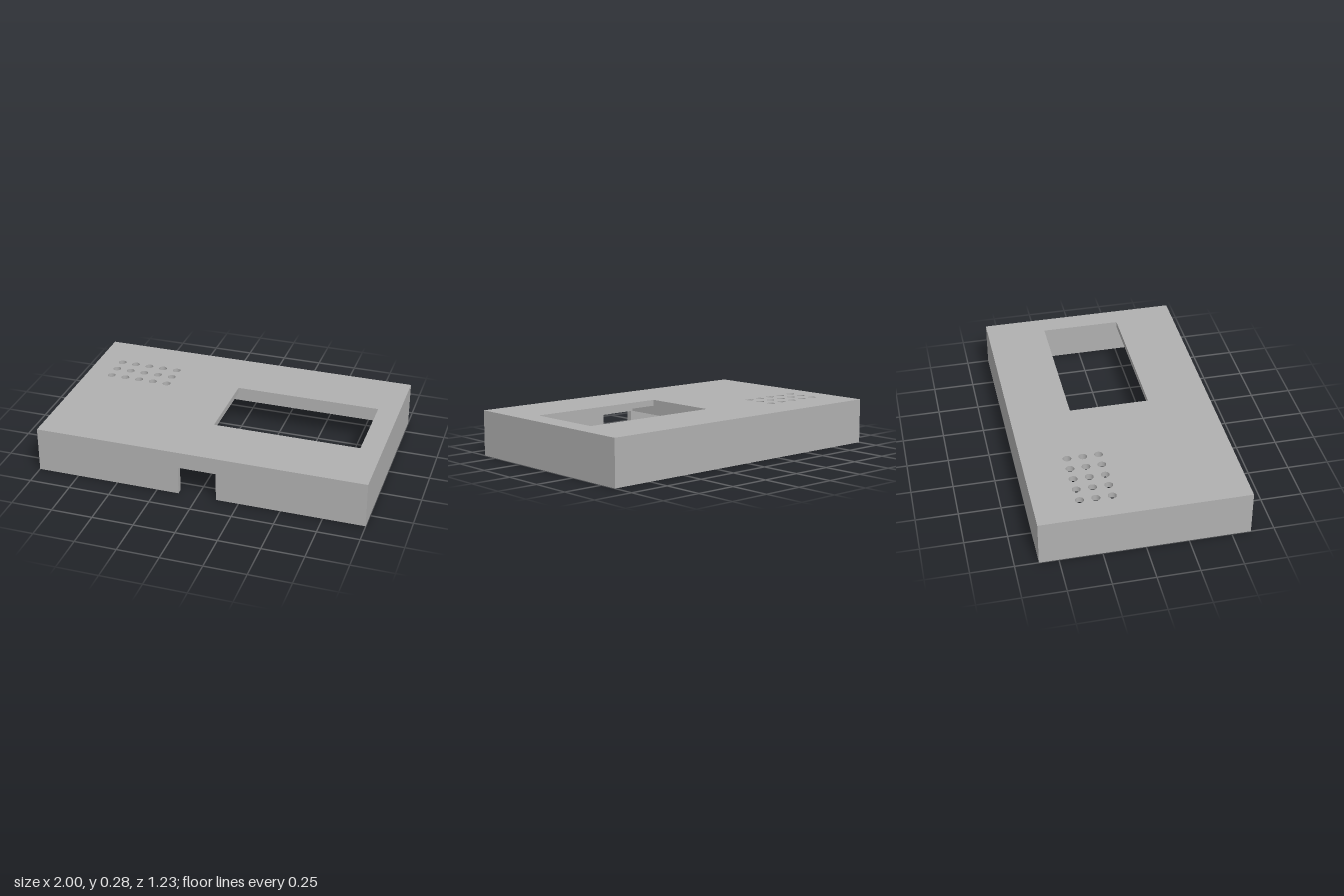
import * as THREE from 'three';

const W = 1, D = 0.613, H = 0.275;  // half width, half depth, height
const T = 0.037;                    // shell thickness
const CEIL = H - T;                 // underside of the lid
const RIB = 0.075, RT = 0.032;      // rib height and thickness

export function createModel() {
  const group = new THREE.Group();
  const grey = new THREE.MeshStandardMaterial({ color: 0xb0b0b0 });
  grey.name = 'grey plastic';

  const add = (name, geometry) => {
    const mesh = new THREE.Mesh(geometry, grey);
    mesh.name = name;
    group.add(mesh);
    return mesh;
  };

  // Box given by its limits on each axis
  const block = (name, x0, x1, y0, y1, z0, z1) =>
    add(name, new THREE.BoxGeometry(x1 - x0, y1 - y0, z1 - z0))
      .position.set((x0 + x1) / 2, (y0 + y1) / 2, (z0 + z1) / 2);

  const polygon = (C, pts) => new C(pts.map(([x, y]) => new THREE.Vector2(x, y)));
  const rect = (C, x0, x1, y0, y1) => polygon(C, [[x0, y0], [x1, y0], [x1, y1], [x0, y1]]);

  // Extrude a plan shape (x, z) downwards from height top
  const slab = (name, shape, top, depth) => {
    const g = new THREE.ExtrudeGeometry(shape, { depth, bevelEnabled: false, curveSegments: 32 });
    g.rotateX(Math.PI / 2).translate(0, top, 0);
    return add(name, g);
  };

  // Lid with display window and speaker holes
  const lid = rect(THREE.Shape, -W, W, -D, D);
  lid.holes.push(rect(THREE.Path, -0.02, 0.87, -0.245, 0.24));
  for (let i = 0; i < 5; i++) {
    for (let j = 0; j < 3; j++) {
      const hole = new THREE.Path();
      hole.absarc(-0.84 + i * 0.093, -0.348 + j * 0.093, 0.025, 0, Math.PI * 2);
      lid.holes.push(hole);
    }
  }
  slab('lid', lid, H, T);

  // Side and back walls
  block('leftWall', W - T, W, 0, CEIL, -D, D);
  block('rightWall', -W, -W + T, 0, CEIL, -D, D);
  block('backWall', -W + T, W - T, 0, CEIL, -D, -D + T);

  // Front wall with the cable notch
  const front = polygon(THREE.Shape, [
    [-W + T, 0], [-0.117, 0], [-0.117, 0.175], [0.113, 0.175],
    [0.113, 0], [W - T, 0], [W - T, CEIL], [-W + T, CEIL],
  ]);
  const frontGeometry = new THREE.ExtrudeGeometry(front, { depth: T, bevelEnabled: false });
  add('frontWall', frontGeometry.translate(0, 0, D - T));

  // Ribs that hold the display board, under the lid
  const low = CEIL - RIB;
  block('displaySideRib', -0.09 - RT, -0.09, low, CEIL, -0.53 - RT, 0.53 + RT);
  block('displayFrontRib', -0.09, W - T, low, CEIL, 0.53, 0.53 + RT);
  block('displayBackRib', -0.09, W - T, low, CEIL, -0.53 - RT, -0.53);

  // Rectangular frame around the speaker holes
  const frame = rect(THREE.Shape, -0.94, -0.34, -0.45, -0.06);
  frame.holes.push(rect(THREE.Path, -0.94 + RT, -0.34 - RT, -0.45 + RT, -0.06 - RT));
  slab('speakerFrame', frame, CEIL, RIB);

  // Round holder, as a lathed tube
  const ring = [[0.203, low], [0.225, low], [0.225, CEIL], [0.203, CEIL], [0.203, low]];
  for (let i = 0; i < 4; i++) {
    const pts = [ring[i], ring[i + 1]].map(([r, y]) => new THREE.Vector2(r, y));
    add('roundHolder', new THREE.LatheGeometry(pts, 48)).position.set(-0.65, 0, 0.3);
  }

  return group;
}
